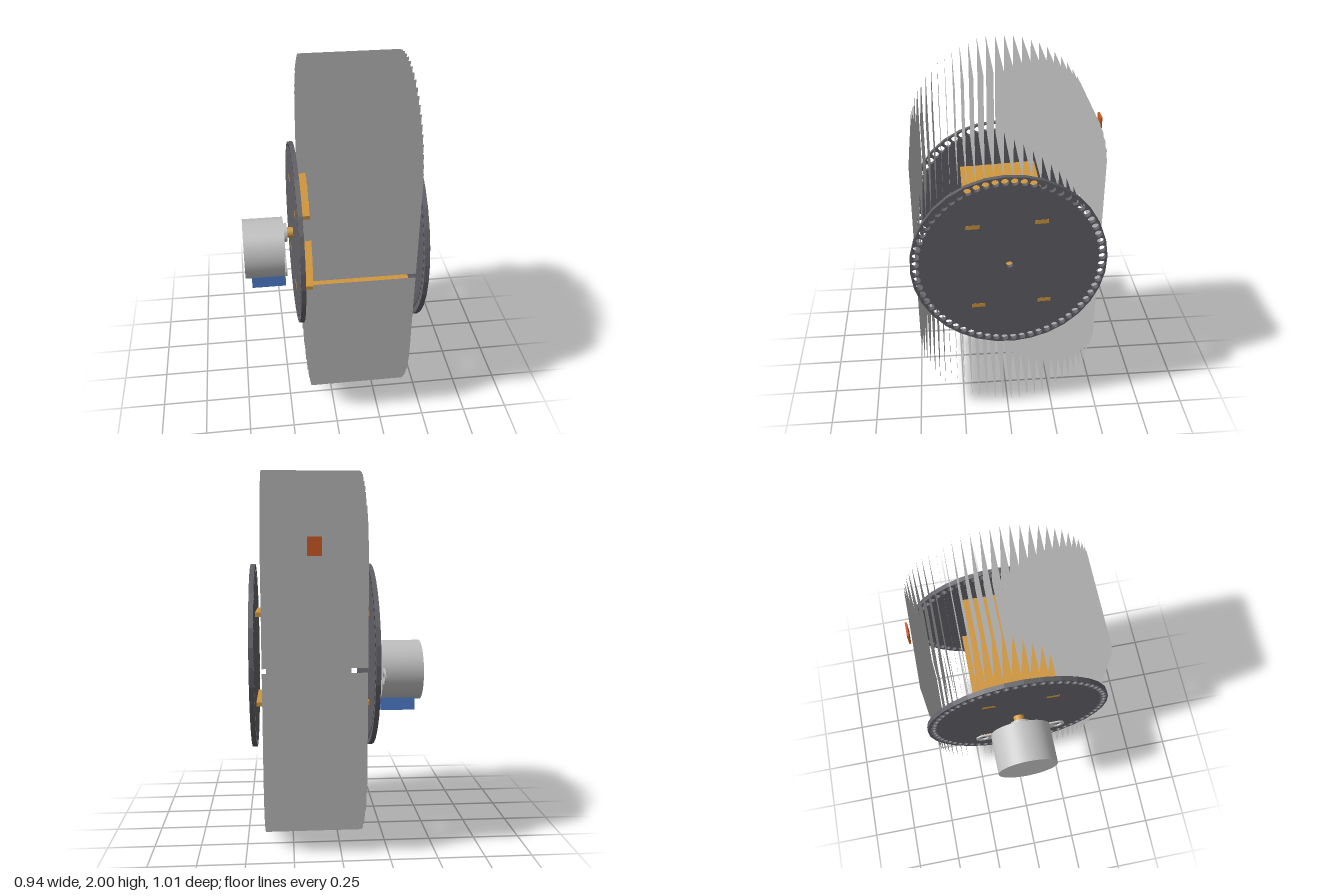
import * as THREE from 'three';

const COUNT = 64, PIN_R = 0.476, TILT = Math.PI / COUNT;

const mat = (name, color, side = THREE.FrontSide) => {
  const m = new THREE.MeshStandardMaterial({ color, side });
  m.name = name;
  return m;
};

export function createModel() {
  const grey = mat('flap grey', 0xbababa, THREE.DoubleSide);
  const dark = mat('spool charcoal', 0x605f65);
  const wood = mat('amber', 0xcf963d);
  const metal = mat('motor metal', 0xc0c0c0);
  const blue = mat('connector blue', 0x5080d2);
  const rust = mat('marker orange', 0xcf5a22);

  const model = new THREE.Group();
  const add = (parent, name, geo, material, x = 0, y = 0, z = 0) => {
    const mesh = new THREE.Mesh(geo, material);
    mesh.name = name;
    mesh.position.set(x, y, z);
    parent.add(mesh);
    return mesh;
  };
  const box = (w, h, d) => new THREE.BoxGeometry(w, h, d);
  // Cylinder lying along x
  const rod = (r, len) => new THREE.CylinderGeometry(r, r, len, 48).rotateZ(Math.PI / 2);
  // Shape in the y-z plane, extruded along x
  const slab = (shape, t, seg) => new THREE.ExtrudeGeometry(shape, { depth: t, bevelEnabled: false, curveSegments: seg })
    .translate(0, 0, -t / 2).rotateY(Math.PI / 2);
  const hole = (shape, x, y, r) => shape.holes.push(new THREE.Path().absarc(x, y, r, 0, Math.PI * 2, true));

  // Spool: two perforated discs joined by two tabbed plates
  const spool = new THREE.Group();
  spool.name = 'spool';
  spool.position.y = 1;
  spool.rotation.x = TILT;
  model.add(spool);
  const disc = new THREE.Shape().absarc(0, 0, 0.504, 0, Math.PI * 2, false);
  hole(disc, 0, 0, 0.019);
  for (let i = 0; i < COUNT; i++) {
    const a = i * 2 * TILT;
    hole(disc, PIN_R * Math.cos(a), PIN_R * Math.sin(a), 0.0195);
  }
  const discGeo = slab(disc, 0.025, 16);
  add(spool, 'rightDisc', discGeo, dark, -0.178);
  add(spool, 'leftDisc', discGeo, dark, 0.453);
  for (const s of [1, -1]) {
    add(spool, 'spoolPlate', box(0.605, 0.022, 0.416), wood, 0.138, s * 0.24, 0);
    for (const t of [1, -1]) {
      add(spool, 'plateTab', box(0.658, 0.022, 0.07), wood, 0.1375, s * 0.24, t * 0.172);
    }
  }

  // Flaps: the upper half stands up, the lower half hangs down
  const flaps = new THREE.Group();
  flaps.name = 'flaps';
  model.add(flaps);
  const flapGeo = new THREE.PlaneGeometry(0.53, 0.536);
  for (let i = 0; i < COUNT; i++) {
    const a = (2 * i + 1) * TILT;
    const up = Math.sin(a) > 0 ? 1 : -1;
    add(flaps, 'flap', flapGeo, grey, 0.137, 1 + PIN_R * Math.sin(a) + up * 0.257, PIN_R * Math.cos(a));
  }
  add(model, 'homeMarker', box(0.072, 0.094, 0.01), rust, 0.138, 1.614, -0.486);

  // Geared motor with offset shaft, mounting ears and cable block
  const motor = new THREE.Group();
  motor.name = 'motor';
  model.add(motor);
  const cy = 0.908;
  add(motor, 'motorBody', rod(0.167, 0.225), metal, -0.3565, cy);
  add(motor, 'shaftCollar', rod(0.052, 0.021), metal, -0.235, 1);
  add(motor, 'shaft', rod(0.029, 0.1), wood, -0.18, 1);
  const ears = new THREE.Shape();
  ears.absarc(0.208, 0, 0.042, -Math.PI / 2, Math.PI / 2, false);
  ears.absarc(-0.208, 0, 0.042, Math.PI / 2, Math.PI * 1.5, false);
  ears.closePath();
  for (const s of [1, -1]) hole(ears, s * 0.208, 0, 0.025);
  add(motor, 'mountingEars', slab(ears, 0.008, 20), metal, -0.247, cy);
  add(motor, 'cableBlock', box(0.19, 0.11, 0.174), blue, -0.3395, 0.75);

  return model;
}
